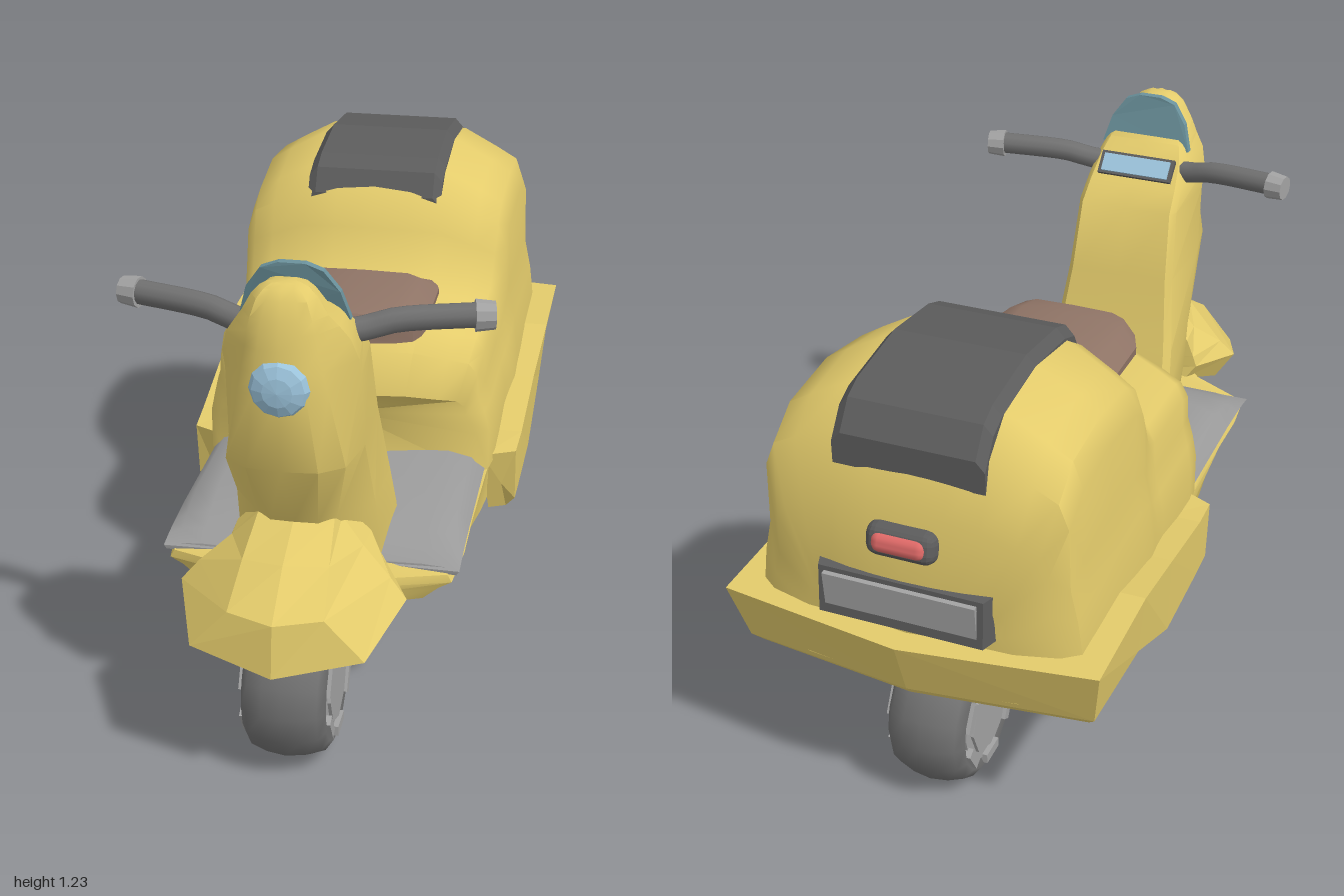
import * as THREE from 'three';
import { toCreasedNormals } from 'three/addons/utils/BufferGeometryUtils.js';
import { RoundedBoxGeometry } from 'three/addons/geometries/RoundedBoxGeometry.js';

const paint = (color, extra = {}) => new THREE.MeshStandardMaterial({ color, ...extra });
const yellow = paint(0xe3cb6b);
const flatYellow = paint(0xe3cb6b, { flatShading: true });
const dark = paint(0x5c5c5c, { flatShading: true });
const rubber = paint(0x707070);
const matGrey = paint(0x9a9a9a);
const metal = paint(0xa2a2a2, { flatShading: true });
const brown = paint(0x8f7466);
const glass = paint(0x6b929c, { side: THREE.DoubleSide });
const lightBlue = paint(0x9cc4dc, { flatShading: true });
const red = paint(0xe06a68);

function add(parent, name, geometry, material, pos = [0, 0, 0], rot = [0, 0, 0]) {
  const mesh = new THREE.Mesh(geometry, material);
  mesh.name = name;
  mesh.position.set(...pos);
  mesh.rotation.set(...rot);
  parent.add(mesh);
  return mesh;
}

// Completes a half section (running from x = 0 round to x = 0) with its mirror image.
const mirror = half => [...half, ...half.slice(1, -1).reverse().map(([x, y, z]) => [-x, y, z])];

// Skins closed rings of equal length, caps both ends and faces everything outward.
function loft(rings, crease = 0.6) {
  const n = rings[0].length, pts = rings.flat(), idx = [];
  for (let r = 0; r < rings.length - 1; r++) {
    for (let i = 0; i < n; i++) {
      const j = (i + 1) % n, a = r * n + i, b = r * n + j;
      idx.push(a, b, b + n, a, b + n, a + n);
    }
  }
  [0, rings.length - 1].forEach((r, end) => {
    const c = pts.length;
    pts.push([0, 1, 2].map(k => rings[r].reduce((s, p) => s + p[k], 0) / n));
    for (let i = 0; i < n; i++) {
      const a = r * n + i, b = r * n + (i + 1) % n;
      idx.push(...(end ? [a, b, c] : [b, a, c]));
    }
  });
  const v = pts.map(p => new THREE.Vector3(...p));
  let volume = 0;
  for (let i = 0; i < idx.length; i += 3) {
    volume += v[idx[i]].dot(v[idx[i + 1]].clone().cross(v[idx[i + 2]]));
  }
  if (volume < 0) idx.reverse();
  const g = new THREE.BufferGeometry();
  g.setAttribute('position', new THREE.Float32BufferAttribute(pts.flat(), 3));
  g.setIndex(idx);
  return toCreasedNormals(g, crease);
}

function wheel(name, z) {
  const group = new THREE.Group();
  group.name = name;
  group.position.set(0, 0.195, z);
  const half = [[0.115, 0.085], [0.145, 0.1], [0.17, 0.083], [0.184, 0.045]];
  const profile = [...half.map(([r, y]) => [r, -y]), [0.19, 0], ...half.reverse()];
  const tyre = new THREE.LatheGeometry(profile.map(p => new THREE.Vector2(...p)), 16);
  add(group, 'tyre', tyre, rubber, [0, 0, 0], [0, 0, Math.PI / 2]);
  add(group, 'rim', new THREE.CylinderGeometry(0.125, 0.125, 0.19, 14), metal, [0, 0, 0], [0, 0, Math.PI / 2]);
  for (const s of [-1, 1]) {
    add(group, 'hubCap', new THREE.CylinderGeometry(0.1, 0.1, 0.012, 8), metal, [s * 0.097, 0, 0], [0, 0, Math.PI / 2]);
    for (let i = 0; i < 6; i++) {
      const a = i * Math.PI / 3;
      add(group, 'rimLug', new THREE.BoxGeometry(0.02, 0.025, 0.07), metal,
        [s * 0.098, Math.cos(a) * 0.122, Math.sin(a) * 0.122], [a, 0, 0]);
    }
  }
  return group;
}

export function createModel() {
  const model = new THREE.Group();
  model.name = 'scooter';
  model.add(wheel('frontWheel', 0.735), wheel('rearWheel', -0.715));

  // Rear body: [z, half width, top height, how far the sides sweep back]
  const body = [[0.165, 0.34, 0.67, 0.09], [0.135, 0.37, 0.78, 0.09], [0.06, 0.38, 0.825, 0.09], [-0.17, 0.38, 0.83, 0.08],
    [-0.225, 0.385, 0.86, 0.08], [-0.275, 0.39, 0.96, 0.07], [-0.32, 0.395, 1.045, 0.06], [-0.4, 0.395, 1.095, 0.04],
    [-0.6, 0.4, 1.13, 0], [-0.78, 0.4, 1.11, 0], [-0.865, 0.4, 1.04, 0], [-0.915, 0.36, 0.88, -0.02], [-0.95, 0.26, 0.7, -0.03]];
  add(model, 'rearBody', loft(body.map(([z, w, t, sweep]) => {
    const d = (t - 0.5) * 0.27, low = t - d;
    return mirror([[0, t], [0.25, t - d * 0.02], [0.48, t - d * 0.08], [0.71, t - d * 0.38], [0.85, t - d * 0.58], [0.91, low],
      [0.92, low * 0.5 + 0.29], [0.965, low * 0.3 + 0.385], [1, 0.54], [1, 0.43], [0, 0.43]]
      .map(([f, y]) => [f * w, y, z - sweep * f * f]));
  }), 0.8), yellow);

  // Skirt round the rear: outer top, outer bottom, lower lip, inner bottom, inner top
  const skirt = [
    [[0.435, 0.45, -0.03], [0.435, 0.3, -0.05], [0.41, 0.265, -0.07], [0.365, 0.265, -0.05], [0.35, 0.45, 0.01]],
    [[0.44, 0.46, -0.13], [0.437, 0.3, -0.13], [0.41, 0.262, -0.13], [0.365, 0.275, -0.13], [0.35, 0.46, -0.13]],
    [[0.447, 0.51, -0.38], [0.44, 0.3, -0.38], [0.41, 0.262, -0.38], [0.365, 0.275, -0.38], [0.35, 0.51, -0.38]],
    [[0.46, 0.57, -0.62], [0.445, 0.41, -0.62], [0.42, 0.38, -0.62], [0.37, 0.385, -0.62], [0.35, 0.57, -0.62]],
    [[0.462, 0.57, -0.935], [0.435, 0.41, -0.89], [0.415, 0.385, -0.87], [0.36, 0.39, -0.83], [0.34, 0.57, -0.84]],
    [[0, 0.57, -1], [0, 0.42, -0.95], [0, 0.395, -0.93], [0, 0.4, -0.88], [0, 0.57, -0.9]]];
  const otherSide = skirt.slice(0, -1).reverse().map(r => r.map(([x, y, z]) => [-x, y, z]));
  add(model, 'rearSkirt', loft([...skirt, ...otherSide], 0.25), flatYellow);

  // Dark belly inside the skirt
  add(model, 'belly', loft([[-0.11, 0.39, 0.297], [-0.38, 0.39, 0.29], [-0.62, 0.39, 0.395], [-0.86, 0.38, 0.405], [-0.91, 0.1, 0.405]]
    .map(([z, w, y]) => mirror([[0, y + 0.04, z], [w, y + 0.04, z], [w, y, z], [0, y, z]])), 0.2), dark);
  add(model, 'swingArm', new THREE.BoxGeometry(0.06, 0.06, 0.2), dark, [0, 0.31, -0.53], [-0.5, 0, 0]);

  // Floor pan: [z, half width, side top, bottom, bottom width ratio]
  add(model, 'floorPan', loft([[-0.12, 0.372, 0.44, 0.293, 0.99], [0.05, 0.365, 0.435, 0.3, 0.97], [0.3, 0.36, 0.43, 0.303, 0.88],
    [0.45, 0.36, 0.425, 0.312, 0.84], [0.57, 0.345, 0.41, 0.335, 0.8], [0.63, 0.2, 0.42, 0.345, 0.86], [0.73, 0.09, 0.44, 0.36, 0.9]]
    .map(([z, w, t, b, k]) => mirror([[0, t + 0.02, z], [w * 0.97, t, z], [w, t - 0.02, z],
      [w * (0.55 + k * 0.45), (t + b) / 2, z], [w * k, b + 0.005, z], [0, b, z]]))), yellow);
  add(model, 'floorMat', loft([[0.02, 0.492, 0.425], [0.36, 0.492, 0.425], [0.46, 0.465, 0.42], [0.51, 0.445, 0.415], [0.555, 0.425, 0.408]]
    .map(([z, t, b]) => mirror([[0, t + 0.002, z], [0.27, t, z], [0.33, t - (t - b) * 0.25, z],
      [0.362, b + 0.01, z + 0.01], [0.355, b, z + 0.01], [0, b, z]])), 0.8), matGrey);

  // Steering column and head: [y, front z, back z, front width, middle width, back width]
  const column = [[0.4, 0.64, 0.35, 0.1, 0.17, 0.19], [0.5, 0.7, 0.37, 0.095, 0.17, 0.182], [0.61, 0.74, 0.41, 0.093, 0.165, 0.172],
    [0.8, 0.86, 0.465, 0.135, 0.157, 0.15], [0.98, 0.875, 0.515, 0.1, 0.153, 0.14], [1.03, 0.872, 0.57, 0.09, 0.153, 0.135],
    [1.085, 0.865, 0.63, 0.08, 0.138, 0.125], [1.12, 0.86, 0.665, 0.075, 0.115, 0.11], [1.15, 0.852, 0.715, 0.068, 0.095, 0.085],
    [1.19, 0.84, 0.735, 0.055, 0.073, 0.062], [1.21, 0.825, 0.75, 0.04, 0.055, 0.045], [1.22, 0.81, 0.765, 0.025, 0.035, 0.025]];
  add(model, 'steeringColumn', loft(column.map(([y, f, b, wf, wm, wb]) => mirror([[0, y, f], [wf * 0.6, y, f - 0.008],
    [wf, y, f - (f - b) * 0.12], [wm, y, f - (f - b) * 0.42], [wb, y, b + 0.02], [wb * 0.9, y, b], [0, y, b]])), 0.7), yellow);

  // Front mudguard from under-lip to crown
  const guard = [
    [[0, 0.31, 0.9], [0.17, 0.335, 0.86], [0.215, 0.37, 0.74], [0.16, 0.42, 0.61], [0, 0.42, 0.6]],
    [[0, 0.355, 0.998], [0.2, 0.385, 0.94], [0.265, 0.445, 0.755], [0.19, 0.46, 0.62], [0, 0.46, 0.6]],
    [[0, 0.48, 0.98], [0.11, 0.485, 0.945], [0.225, 0.49, 0.74], [0.18, 0.49, 0.62], [0, 0.49, 0.6]],
    [[0, 0.565, 0.86], [0.1, 0.555, 0.83], [0.155, 0.545, 0.7], [0.16, 0.54, 0.62], [0, 0.54, 0.6]],
    [[0, 0.615, 0.74], [0.09, 0.612, 0.71], [0.1, 0.6, 0.67], [0.1, 0.6, 0.62], [0, 0.6, 0.6]]];
  add(model, 'frontMudguard', loft(guard.map(mirror), 0.2), flatYellow);
  add(model, 'mudguardLining', loft([0, -0.006].map(d => mirror(guard[0].map(([x, y, z]) =>
    [x * 0.85, y + d, 0.74 + (z - 0.74) * 0.85]))), 0.2), dark);
  add(model, 'forkStem', new THREE.BoxGeometry(0.07, 0.2, 0.07), dark, [0, 0.38, 0.7]);

  // Handlebars with grip ends
  for (const s of [-1, 1]) {
    const path = new THREE.CatmullRomCurve3([[0.08, 1.05, 0.655], [0.15, 1.06, 0.635], [0.21, 1.076, 0.62], [0.4, 1.087, 0.58]]
      .map(([x, y, z]) => new THREE.Vector3(s * x, y, z)));
    add(model, 'handlebar', new THREE.TubeGeometry(path, 10, 0.029, 10), rubber);
    add(model, 'gripEnd', new THREE.CylinderGeometry(0.032, 0.037, 0.045, 10), metal, [s * 0.406, 1.085, 0.578], [0, s * 0.2, -s * Math.PI / 2]);
  }

  // Headlight, windscreen and instrument panel
  add(model, 'headlight', new THREE.SphereGeometry(0.068, 12, 6), lightBlue, [0, 1, 0.862], [Math.PI / 2, 0, 0]).scale.y = 0.42;
  const screen = new THREE.Shape([[-0.125, 1.1], [0.125, 1.1], [0.105, 1.17], [0.07, 1.22], [0.03, 1.235], [-0.03, 1.235], [-0.07, 1.22], [-0.105, 1.17]]
    .map(p => new THREE.Vector2(...p)));
  const screenGeometry = new THREE.ExtrudeGeometry(screen, { depth: 0.02, bevelEnabled: false });
  const sp = screenGeometry.attributes.position;
  for (let i = 0; i < sp.count; i++) {
    sp.setZ(i, sp.getZ(i) + 0.66 + (sp.getY(i) - 1.1) * 0.3 + Math.abs(sp.getX(i)) * 0.1);
  }
  screenGeometry.computeVertexNormals();
  add(model, 'windscreen', screenGeometry, glass);
  add(model, 'panelFrame', new THREE.BoxGeometry(0.21, 0.065, 0.02), dark, [0, 1.065, 0.602], [0.75, 0, 0]);
  add(model, 'instrumentPanel', new THREE.BoxGeometry(0.19, 0.05, 0.02), lightBlue, [0, 1.068, 0.597], [0.75, 0, 0]);

  // Seat: [z, half width, top]
  add(model, 'seat', loft([[0.14, 0.13, 0.85], [0.12, 0.175, 0.875], [0.06, 0.2, 0.882], [-0.17, 0.2, 0.88], [-0.225, 0.185, 0.84]]
    .map(([z, w, t]) => mirror([[0, t, z], [w * 0.6, t - 0.002, z], [w * 0.78, t - 0.014, z], [w, 0.832, z - 0.02], [w, 0.8, z - 0.02], [0, 0.8, z]])), 0.6), brown);

  // Pad over the boot: [z, top]
  add(model, 'bootPad', loft([[-0.325, 1.035], [-0.36, 1.095], [-0.42, 1.118], [-0.6, 1.143], [-0.79, 1.122], [-0.84, 1.1], [-0.888, 1.035]]
    .map(([z, t]) => mirror([[0, t, z], [0.16, t, z], [0.182, t - 0.025, z], [0.182, t - 0.08, z], [0, t - 0.08, z]])), 0.3), dark);

  // Tail light and blank rear plate
  add(model, 'tailLightFrame', new RoundedBoxGeometry(0.17, 0.08, 0.06, 2, 0.028), dark, [0, 0.815, -0.928], [0.2, 0, 0]);
  add(model, 'tailLight', new RoundedBoxGeometry(0.135, 0.052, 0.05, 2, 0.022), red, [0, 0.817, -0.941], [0.2, 0, 0]);
  add(model, 'plateHolder', loft([[-0.9, 0.22], [-0.955, 0.2]].map(([z, w]) =>
    mirror([[0, 0.72, z], [w, 0.72, z], [w, 0.6, z - 0.01], [0, 0.6, z - 0.01]])), 0.2), dark);
  add(model, 'rearPlate', new THREE.BoxGeometry(0.37, 0.1, 0.012), metal, [0, 0.66, -0.96], [-0.08, 0, 0]);
  return model;
}
